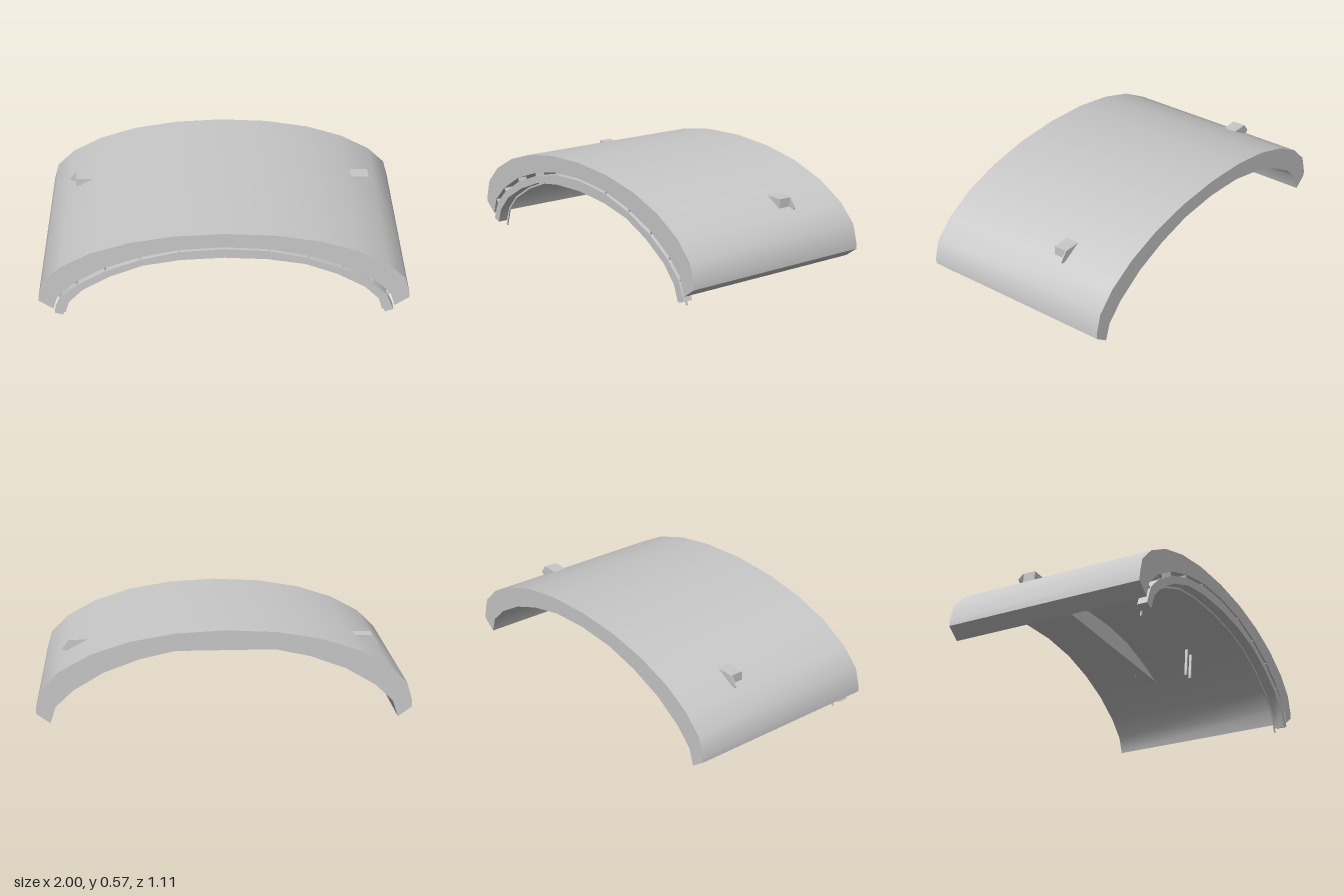
import * as THREE from 'three';
import { toCreasedNormals } from 'three/addons/utils/BufferGeometryUtils.js';

// Half profiles, from the +x foot up to the crown
const SHELL_OUT = [[1, 0.13], [0.998, 0.165], [0.97, 0.262], [0.87, 0.36], [0.705, 0.45], [0.5, 0.516], [0.265, 0.556], [0, 0.57]];
const SHELL_IN = [[0.925, 0.075], [0.895, 0.165], [0.8, 0.255], [0.64, 0.35], [0.45, 0.42], [0.24, 0.467], [0, 0.482]];
const LIP_OUT = [[0.92, 0.046], [0.877, 0.15], [0.785, 0.237], [0.632, 0.33], [0.445, 0.403], [0.235, 0.454], [0, 0.47]];
const LIP_IN = [[0.875, 0.03], [0.842, 0.115], [0.757, 0.205], [0.605, 0.295], [0.43, 0.365], [0.23, 0.4], [0, 0.413]];
const FLANGE_IN = [[0.868, 0], [0.835, 0.105], [0.752, 0.195], [0.6, 0.286], [0.427, 0.356], [0.23, 0.392], [0, 0.404]];
const FLANGE_OUT = [[0.878, 0.005], [0.85, 0.118], [0.765, 0.212], [0.612, 0.302], [0.432, 0.372], [0.23, 0.407], [0, 0.42]];

export function createModel() {
  const model = new THREE.Group();
  const grey = new THREE.MeshStandardMaterial({ color: 0xc8c8c8 });
  grey.name = 'light grey';

  const add = (name, geometry) => {
    const mesh = new THREE.Mesh(geometry, grey);
    mesh.name = name;
    model.add(mesh);
    return mesh;
  };
  // Extrude an outline in x-y from z0 to z1
  const prism = (name, points, z0, z1) => {
    const shape = new THREE.Shape(points.map(([x, y]) => new THREE.Vector2(x, y)));
    const geo = new THREE.ExtrudeGeometry(shape, { depth: z1 - z0, bevelEnabled: false });
    geo.translate(0, 0, z0);
    return add(name, toCreasedNormals(geo, 0.65));
  };
  // Mirror a half profile into a full arc
  const fullArc = half => [...half, ...half.slice(0, -1).reverse().map(([x, y]) => [-x, y])];
  const arch = (name, outer, inner, z0, z1) =>
    prism(name, [...fullArc(outer), ...fullArc(inner).reverse()], z0, z1);

  // Main arched cover, front lip and its thin rear flange
  arch('archedShell', SHELL_OUT, SHELL_IN, -0.555, 0.555);
  arch('frontLip', LIP_OUT, LIP_IN, 0.5, 0.555);
  arch('lipFlange', FLANGE_OUT, FLANGE_IN, 0.494, 0.5);

  // Small tabs joining lip and shell at each bend
  for (let i = 1; i < LIP_OUT.length - 1; i++) {
    for (const side of [1, -1]) {
      const [ax, ay] = LIP_OUT[i];
      const [bx, by] = SHELL_IN[i];
      const tab = add('lipTab', new THREE.BoxGeometry(0.008, 0.06, 0.05));
      tab.position.set(side * (ax + bx) / 2, (ay + by) / 2 - 0.005, 0.525);
      tab.rotation.z = -side * Math.atan2(bx - ax, by - ay);
    }
  }

  // Cross beam under the shell, a flat chord below a curved top
  prism('crossBeam', [[0.62, 0.36], ...fullArc([[0.6, 0.362], [0.445, 0.412], [0.235, 0.462], [0, 0.476]]), [-0.62, 0.36]].reverse(), -0.222, -0.155);
  for (let i = -4; i <= 4; i++) {
    const tooth = add('beamTooth', new THREE.BoxGeometry(0.006, 0.035, 0.012));
    tooth.position.set(i * 0.12, 0.425 - 0.003 * i * i, -0.227);
    tooth.rotation.z = 0.5;
  }

  // Beam ends protruding through the shell, with a thin hooked plate
  for (const side of [1, -1]) {
    const flip = points => points.map(([x, y]) => [side * x, y]);
    prism('beamEnd', flip([[0.7, 0.385], [0.83, 0.385], [0.83, 0.435], [0.7, 0.435]]), -0.222, -0.15);
    prism('endPlate', flip([[0.7, 0.375], [0.86, 0.375], [0.868, 0.388], [0.832, 0.435], [0.7, 0.435]]), -0.226, -0.22);
  }

  // Slim hangers under the shell, tapered towards the tip
  for (const [x, tilt] of [[0.392, 0.02], [0.447, 0.02], [-0.61, 0.008]]) {
    prism('hanger', [[x - 0.007, 0.258], [x + 0.003, 0.258], [x + tilt + 0.006, 0.44], [x + tilt - 0.006, 0.44]].map(
      ([px, py]) => (x < 0 && py > 0.4 ? [px, 0.37] : [px, py])), 0.14, 0.155);
  }
  return model;
}
